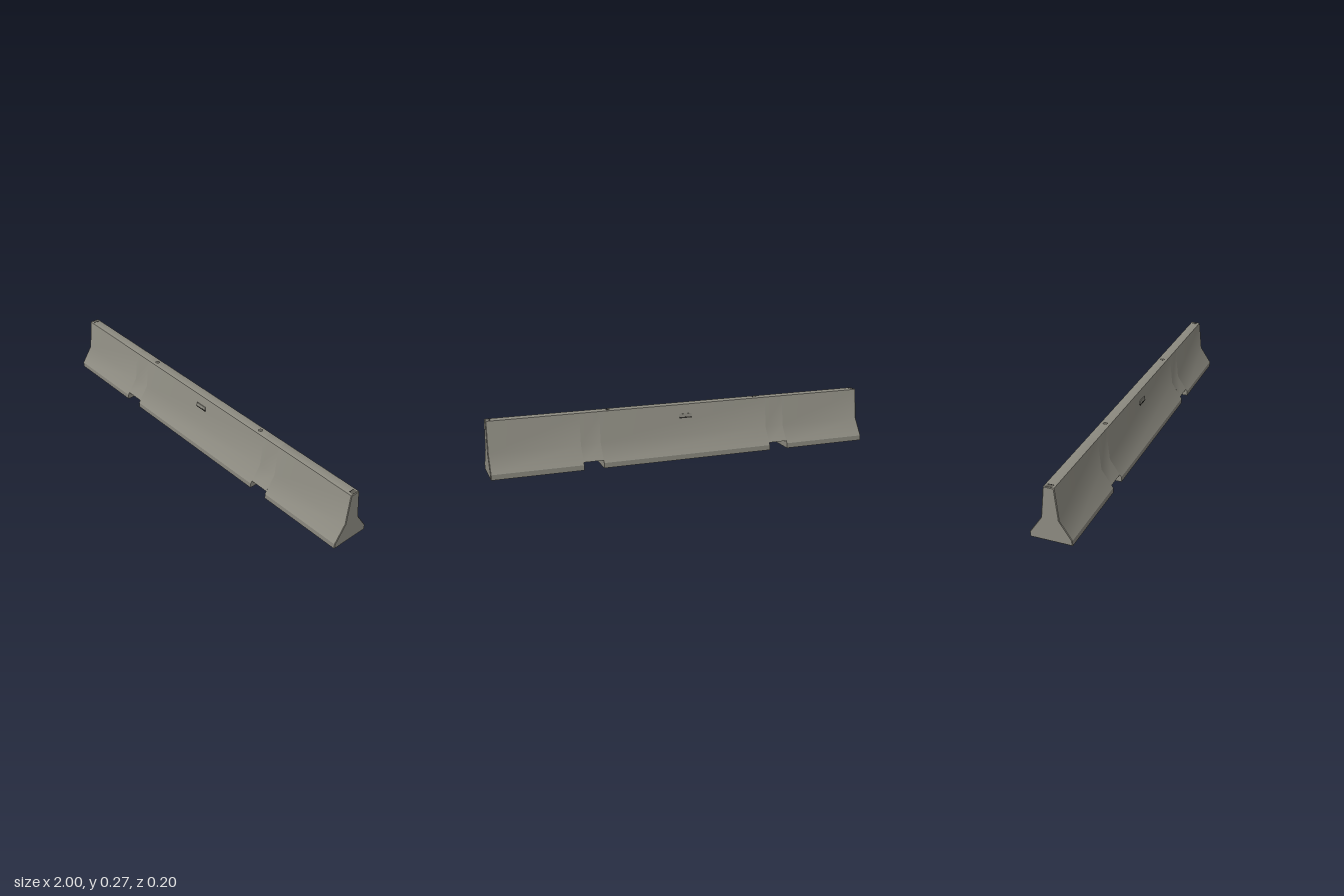
import * as THREE from 'three';
import { toCreasedNormals } from 'three/addons/utils/BufferGeometryUtils.js';

const NOTCH_TOP = 0.038;
// Half profile from the shoulder up, as [z, y]
const UPPER = [[0.042, 0.112], [0.026, 0.264], [0.0245, 0.2685], [0.021, 0.27]];
const FULL = [[0.1, 0], [0.1, 0.026], ...UPPER];
const RAISED = [[0.092, NOTCH_TOP], ...UPPER];

// Slice of the barrier from x0 to x1; taper shrinks the outer end for a chamfer
function slice(half, x0, x1, taper = 0) {
  const right = half.map(([z, y]) => new THREE.Vector2(-z, y));
  const left = half.map(([z, y]) => new THREE.Vector2(z, y)).reverse();
  const geo = new THREE.ExtrudeGeometry(new THREE.Shape([...right, ...left]), {
    depth: x1 - x0, bevelEnabled: false,
  });
  geo.rotateY(Math.PI / 2);
  geo.translate(x0, 0, 0);
  const p = geo.attributes.position;
  for (let i = 0; taper && i < p.count; i++) {
    if (Math.abs(p.getX(i)) > 0.9995) {
      const z = p.getZ(i), y = p.getY(i);
      p.setZ(i, z - Math.sign(z) * taper);
      p.setY(i, y + (y < 0.01 ? taper : y > 0.26 ? -taper : 0));
    }
  }
  return toCreasedNormals(geo, 0.53);
}

export function createModel() {
  const concrete = new THREE.MeshStandardMaterial({ color: 0x8c8a80 });
  concrete.name = 'concrete';
  const shade = new THREE.MeshStandardMaterial({ color: 0x5e5c55 });
  shade.name = 'recess grey';
  const dark = new THREE.MeshStandardMaterial({ color: 0x2c2b28 });
  dark.name = 'dark metal';

  const group = new THREE.Group();
  group.name = 'concreteBarrier';
  const add = (name, geo, mat, x = 0, y = 0, z = 0) => {
    const mesh = new THREE.Mesh(geo, mat);
    mesh.name = name;
    mesh.position.set(x, y, z);
    group.add(mesh);
    return mesh;
  };

  // Body, with two forklift notches through the base
  add('middleBody', slice(FULL, -0.45, 0.45), concrete);
  for (const [s, side] of [[1, 'left'], [-1, 'right']]) {
    const span = (half, a, b, taper) => slice(half, Math.min(s * a, s * b), Math.max(s * a, s * b), taper);
    add(side + 'NotchBridge', span(RAISED, 0.45, 0.55), concrete);
    add(side + 'EndBody', span(FULL, 0.55, 0.997), concrete);
    add(side + 'EndChamfer', span(FULL, 0.997, 1, 0.003), concrete);

    // Lifting socket on the crest
    add(side + 'SocketFloor', new THREE.CylinderGeometry(0.011, 0.011, 0.001, 20), shade, s * 0.4, 0.27);
    const rim = add(side + 'SocketRim', new THREE.RingGeometry(0.0095, 0.0125, 20), dark, s * 0.4, 0.2708);
    rim.rotation.x = -Math.PI / 2;

    // Coupling slot at the end of the crest
    add(side + 'CouplingSlot', new THREE.BoxGeometry(0.021, 0.001, 0.03), shade, s * 0.986, 0.27);
    add(side + 'CouplingPin', new THREE.BoxGeometry(0.004, 0.001, 0.03), dark, s * 0.976, 0.2704);
  }

  // Small plate with a dark lower lip on each face
  for (const [s, side] of [[1, 'front'], [-1, 'back']]) {
    const plate = add(side + 'Plate', new THREE.BoxGeometry(0.064, 0.02, 0.005), concrete, 0, 0.211, s * 0.0335);
    plate.rotation.x = -s * 0.105;
    const lip = add(side + 'PlateLip', new THREE.BoxGeometry(0.066, 0.006, 0.006), dark, 0, 0.202, s * 0.0345);
    lip.rotation.x = -s * 0.105;
  }
  return group;
}
